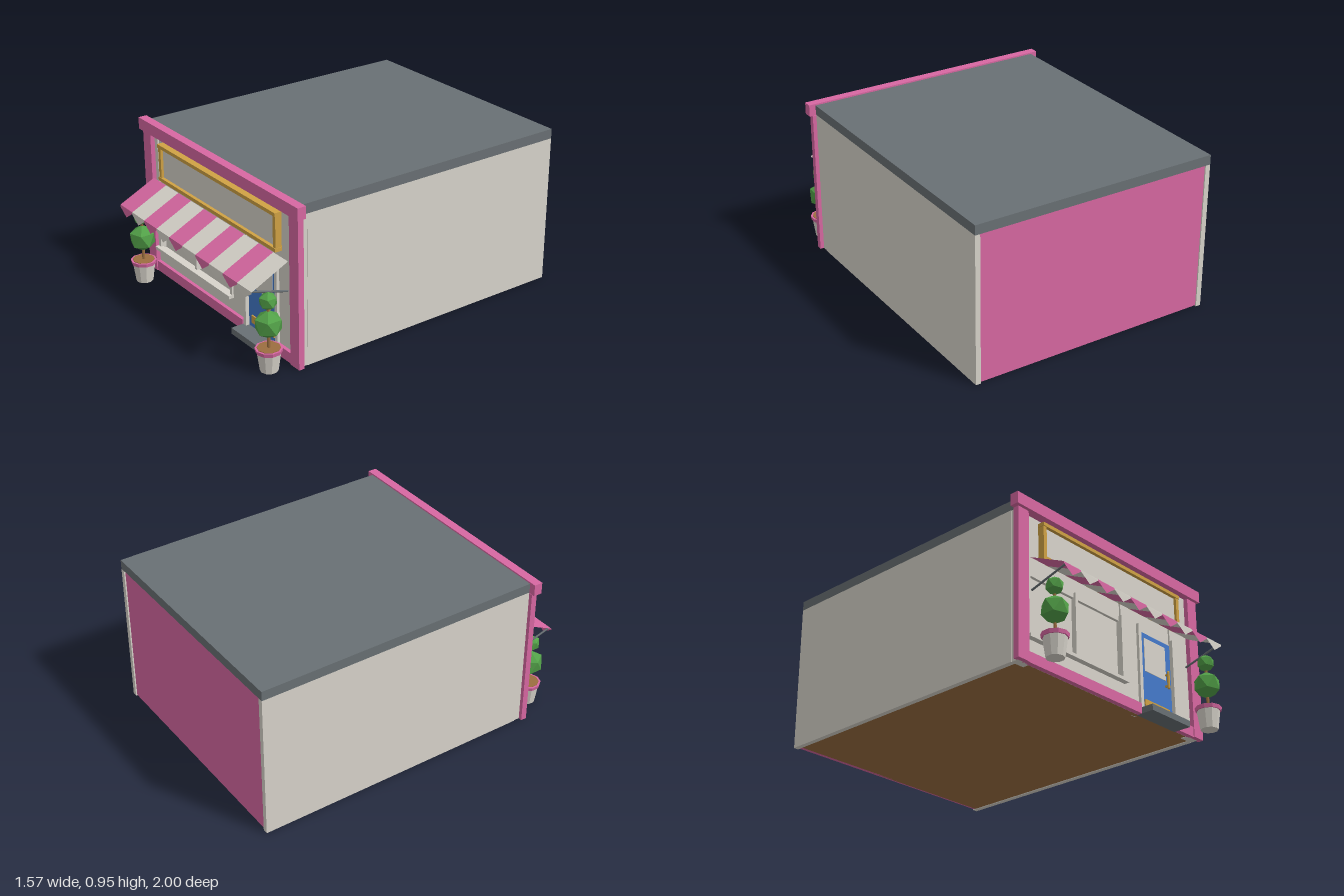
import * as THREE from 'three';

const paint = (name, color, side = THREE.FrontSide) => {
  const m = new THREE.MeshStandardMaterial({ color, side });
  m.name = name;
  return m;
};

export function createModel() {
  const pink = paint('pink paint', 0xd868a2, THREE.DoubleSide);
  const cream = paint('cream plaster', 0xd8d4cb, THREE.DoubleSide);
  const slate = paint('slate grey', 0x697074);
  const blue = paint('blue door paint', 0x447acb);
  const gold = paint('gold trim', 0xd0a244);
  const green = paint('leaf green', 0x52a048);
  const brown = paint('earth brown', 0x9c6e40);

  const shop = new THREE.Group();
  shop.name = 'shop';

  const add = (name, geometry, material, parent = shop) => {
    const mesh = new THREE.Mesh(geometry, material);
    mesh.name = name;
    parent.add(mesh);
    return mesh;
  };
  // Box given by its limits on each axis
  const box = (name, material, x0, x1, y0, y1, z0, z1) => {
    const mesh = add(name, new THREE.BoxGeometry(x1 - x0, y1 - y0, z1 - z0), material);
    mesh.position.set((x0 + x1) / 2, (y0 + y1) / 2, (z0 + z1) / 2);
    return mesh;
  };

  // Building shell
  box('floor', brown, -0.72, 0.72, 0.004, 0.03, -0.98, 0.73);
  box('backWall', pink, -0.715, 0.715, 0.004, 0.88, -0.992, -0.97);
  for (const s of [-1, 1]) {
    const [a, b] = s < 0 ? [-0.745, -0.715] : [0.715, 0.745];
    box('sideWall', cream, a, b, 0, 0.88, -1, 0.70);
    const [c, d] = s < 0 ? [-0.742, -0.655] : [0.655, 0.742];
    box('cornerPost', cream, c, d, 0, 0.88, 0.70, 0.745);
    const [e, f] = s < 0 ? [-0.765, -0.685] : [0.685, 0.765];
    box('pilaster', pink, e, f, 0, 0.872, 0.737, 0.772);
  }
  box('roof', slate, -0.745, 0.745, 0.88, 0.937, -1, 0.74);
  box('cornice', pink, -0.785, 0.785, 0.876, 0.946, 0.735, 0.787);

  // Front wall, window and door posts
  box('windowPane', cream, -0.66, 0.10, 0.03, 0.88, 0.69, 0.718);
  box('wallUnderWindow', cream, -0.66, 0.09, 0.004, 0.15, 0.70, 0.745);
  box('wallBetween', cream, 0.09, 0.245, 0.004, 0.88, 0.70, 0.745);
  box('wallRightOfDoor', cream, 0.53, 0.66, 0.004, 0.88, 0.70, 0.745);
  box('wallAboveDoor', cream, 0.245, 0.53, 0.51, 0.88, 0.69, 0.735);
  box('windowHead', cream, -0.66, 0.09, 0.52, 0.88, 0.70, 0.735);
  box('windowSill', cream, -0.68, 0.107, 0.143, 0.162, 0.74, 0.778);
  box('windowMullion', cream, -0.292, -0.272, 0.16, 0.55, 0.71, 0.748);
  box('windowJamb', cream, 0.085, 0.105, 0.16, 0.55, 0.71, 0.755);
  box('windowJamb', cream, -0.68, -0.655, 0.16, 0.55, 0.71, 0.755);
  box('plinth', pink, -0.685, 0.222, 0, 0.062, 0.737, 0.766);
  box('plinth', pink, 0.553, 0.685, 0, 0.062, 0.737, 0.766);

  // Door
  box('doorFrame', cream, 0.225, 0.25, 0.035, 0.55, 0.71, 0.762);
  box('doorFrame', cream, 0.53, 0.553, 0.035, 0.55, 0.71, 0.762);
  box('door', blue, 0.25, 0.53, 0.035, 0.52, 0.70, 0.74);
  box('doorGlass', cream, 0.295, 0.483, 0.286, 0.49, 0.738, 0.743);
  box('kickPlate', gold, 0.282, 0.498, 0.066, 0.112, 0.738, 0.747);
  const handle = add('doorHandle', new THREE.CapsuleGeometry(0.008, 0.095, 3, 8), gold);
  handle.position.set(0.48, 0.284, 0.762);
  for (const y of [0.25, 0.318]) box('handleMount', gold, 0.475, 0.485, y - 0.005, y + 0.005, 0.74, 0.762);
  box('doorStep', slate, 0.222, 0.553, 0, 0.037, 0.73, 0.84);

  // Sign board with gold border
  box('signBoard', cream, -0.57, 0.57, 0.635, 0.835, 0.735, 0.768);
  for (const y of [0.622, 0.824]) box('signBorder', gold, -0.585, 0.583, y, y + 0.021, 0.745, 0.788);
  for (const x of [-0.582, 0.557]) box('signBorder', gold, x, x + 0.024, 0.643, 0.824, 0.745, 0.784);

  // Awning of striped panels, each ending in a pointed flap
  const awning = new THREE.Group();
  awning.name = 'awning';
  shop.add(awning);
  const count = 10, width = 1.344 / count;
  for (let i = 0; i < count; i++) {
    const x = -0.672 + i * width;
    const g = new THREE.BufferGeometry();
    g.setAttribute('position', new THREE.Float32BufferAttribute([
      x, 0.602, 0.77, x, 0.494, 0.997, x + width, 0.494, 0.997, x + width, 0.602, 0.77,
      x, 0.494, 0.997, x, 0.484, 0.999, x + width / 2, 0.437, 0.999,
      x + width, 0.484, 0.999, x + width, 0.494, 0.997], 3));
    g.setIndex([0, 1, 2, 0, 2, 3, 4, 5, 6, 4, 6, 7, 4, 7, 8]);
    g.computeVertexNormals();
    add('awningStripe', g, i % 2 ? cream : pink, awning);
  }
  for (const x of [-0.652, 0.652]) {
    const path = new THREE.LineCurve3(new THREE.Vector3(x, 0.42, 0.76), new THREE.Vector3(x, 0.487, 0.992));
    add('awningArm', new THREE.TubeGeometry(path, 1, 0.006, 6), slate, awning);
  }

  // Potted topiary trees
  const leafBall = (radius) => {
    const g = new THREE.IcosahedronGeometry(radius, 0);
    g.rotateZ(Math.atan(2 / (1 + Math.sqrt(5)))); // one corner points straight up
    g.computeVertexNormals();
    return g;
  };
  for (const x of [-0.625, 0.662]) {
    const tree = new THREE.Group();
    tree.name = 'pottedTree';
    tree.position.set(x, 0, 0.892);
    shop.add(tree);
    const flat = (g) => {
      const n = g.toNonIndexed();
      n.computeVertexNormals();
      return n;
    };
    add('pot', flat(new THREE.CylinderGeometry(0.066, 0.05, 0.116, 10)), cream, tree).position.y = 0.058;
    add('potRim', flat(new THREE.CylinderGeometry(0.076, 0.072, 0.022, 10)), pink, tree).position.y = 0.122;
    add('soil', new THREE.CylinderGeometry(0.064, 0.064, 0.006, 10), brown, tree).position.y = 0.133;
    add('trunk', new THREE.CylinderGeometry(0.008, 0.009, 0.27, 8), brown, tree).position.y = 0.265;
    add('lowerLeaves', leafBall(0.082), green, tree).position.y = 0.272;
    add('upperLeaves', leafBall(0.053), green, tree).position.y = 0.408;
  }

  return shop;
}
